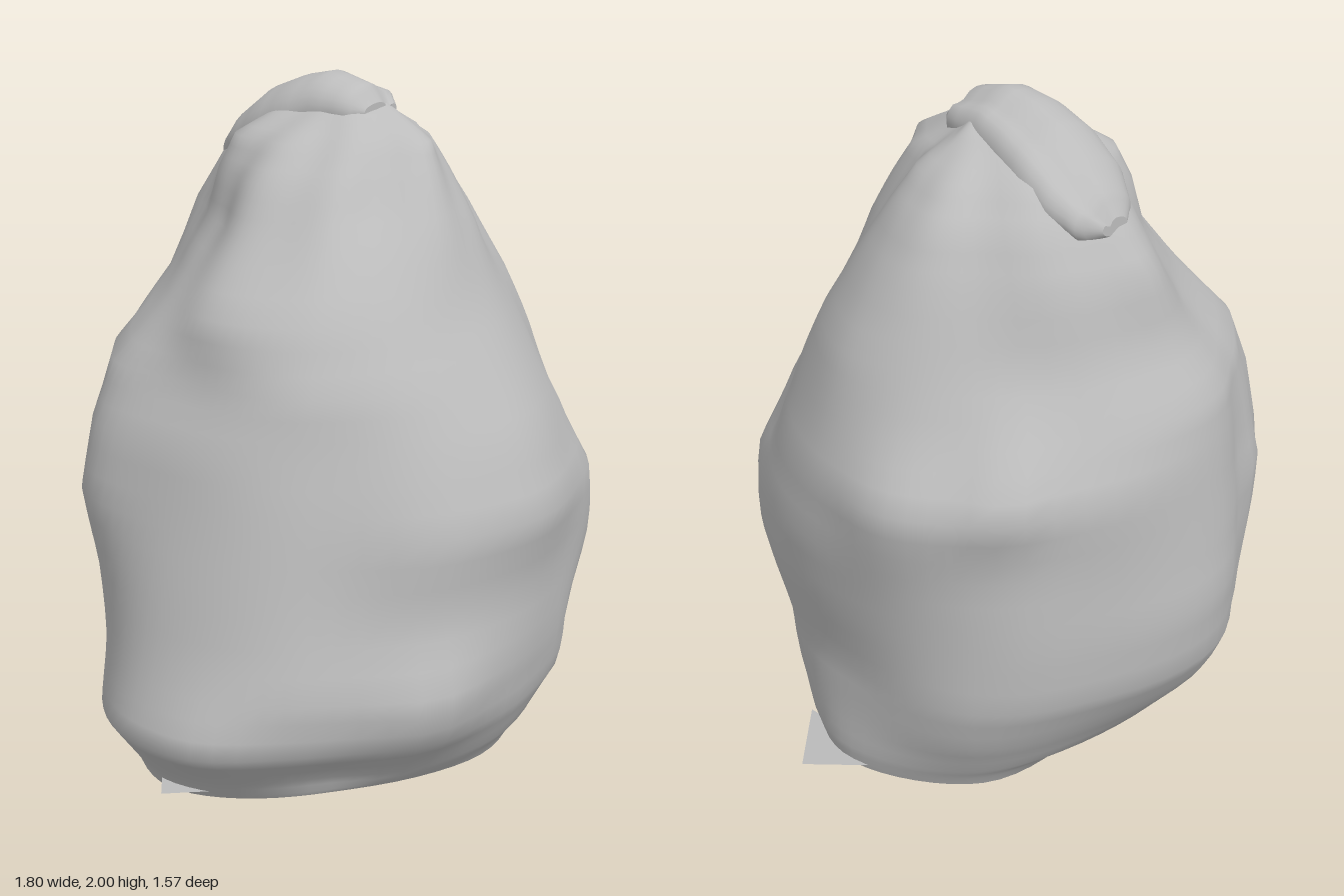
import * as THREE from 'three';

// Compass directions of the section points, in degrees from +x towards +z
const DIRECTIONS = [0, 35, 90, 145, 180, 215, 270, 325].map(THREE.MathUtils.degToRad);

// Key sections of the sack: height, then the reach in each direction
const SACK = [
  [0.015, 0.76, 0.62, 0.59, 0.66, 0.74, 0.61, 0.42, 0.66],
  [0.09, 0.77, 0.67, 0.65, 0.71, 0.79, 0.66, 0.56, 0.71],
  [0.22, 0.76, 0.71, 0.72, 0.80, 0.89, 0.71, 0.66, 0.77],
  [0.38, 0.76, 0.74, 0.74, 0.81, 0.85, 0.71, 0.76, 0.81],
  [0.60, 0.80, 0.77, 0.74, 0.76, 0.80, 0.72, 0.79, 0.81],
  [0.82, 0.82, 0.77, 0.79, 0.71, 0.74, 0.75, 0.77, 0.81],
  [1.03, 0.81, 0.71, 0.70, 0.66, 0.69, 0.71, 0.74, 0.84],
  [1.20, 0.75, 0.64, 0.60, 0.63, 0.60, 0.65, 0.71, 0.73],
  [1.38, 0.69, 0.56, 0.50, 0.54, 0.55, 0.48, 0.61, 0.64],
  [1.58, 0.59, 0.45, 0.41, 0.38, 0.37, 0.34, 0.56, 0.57],
  [1.72, 0.50, 0.36, 0.33, 0.27, 0.28, 0.30, 0.47, 0.50],
  [1.82, 0.40, 0.29, 0.27, 0.16, 0.18, 0.25, 0.38, 0.40],
  [1.89, 0.27, 0.19, 0.14, 0.07, 0.05, 0.13, 0.22, 0.27],
  [1.94, 0.19, 0.13, 0.04, -0.03, -0.04, 0.01, 0.10, 0.17],
];

// Folded neck, running backwards: z, xMin, xMax, yMin, yMax
const NECK = [
  [0.11, 0.02, 0.17, 1.87, 1.92],
  [0.07, -0.03, 0.21, 1.82, 1.97],
  [-0.05, -0.05, 0.23, 1.78, 2.00],
  [-0.15, -0.07, 0.25, 1.74, 1.98],
  [-0.26, -0.07, 0.27, 1.69, 1.94],
  [-0.36, -0.05, 0.27, 1.66, 1.87],
  [-0.44, 0.01, 0.24, 1.66, 1.80],
  [-0.48, 0.07, 0.17, 1.69, 1.74],
];

// Bulges, folds and creases: angle, height, amount, angular width, vertical width
const FOLDS = [
  [0.84, 0.68, 0.06, 0.24, 0.32],
  [1.12, 0.30, 0.03, 0.22, 0.18],
  [0.80, 0.38, -0.03, 0.30, 0.07],
  [0.72, 1.08, -0.02, 0.12, 0.25],
  [2.08, 0.32, 0.07, 0.24, 0.17],
  [2.08, 0.75, 0.03, 0.24, 0.25],
  [2.88, 0.24, 0.04, 0.18, 0.12],
  [2.45, 0.10, -0.03, 0.20, 0.07],
  [-0.74, 1.12, 0.05, 0.14, 0.14],
  [-0.32, 1.00, 0.03, 0.18, 0.20],
  [-0.80, 0.60, 0.03, 0.20, 0.30],
  [-1.98, 0.80, -0.035, 0.16, 0.45],
  [-2.15, 0.75, 0.02, 0.14, 0.30],
  [-2.65, 0.95, 0.03, 0.20, 0.30],
  [-1.80, 0.25, 0.03, 0.35, 0.14],
  [2.30, 1.68, -0.02, 0.25, 0.10],
];

const angleGap = (a, b) => Math.atan2(Math.sin(a - b), Math.cos(a - b));

// Cloth relief at an angle and height, with pleats below the neck
function relief(a, y) {
  let d = 0;
  for (const [a0, y0, amount, wa, wy] of FOLDS) {
    d += amount * Math.exp(-((angleGap(a, a0) / wa) ** 2) - ((y - y0) / wy) ** 2);
  }
  const gather = THREE.MathUtils.smoothstep(y, 1.2, 1.75) * (1 - THREE.MathUtils.smoothstep(y, 1.8, 1.93));
  const lumps = THREE.MathUtils.smoothstep(y, 0.03, 0.3) * (1 - gather);
  return d + 0.012 * gather * Math.sin(9 * a + 2 * Math.sin(3 * y))
    + 0.008 * lumps * Math.sin(5 * a + 4 * y) * Math.cos(3 * a - 6 * y);
}

// Add evenly spaced sections between the key ones
function subdivide(keys, steps) {
  const rows = [];
  for (let i = 0; i < keys.length - 1; i++) {
    for (let s = 0; s < steps; s++) {
      rows.push(keys[i].map((v, k) => THREE.MathUtils.lerp(v, keys[i + 1][k], s / steps)));
    }
  }
  rows.push(keys[keys.length - 1]);
  return rows;
}

// Skin closed rings, ending each side in a centre point; the first rim is crisp
function loft(rings) {
  const sides = rings[0].length;
  const centre = (ring) => {
    const c = ring.reduce((sum, p) => sum.add(p), new THREE.Vector3()).divideScalar(sides);
    return ring.map(() => c);
  };
  const first = rings[0], last = rings[rings.length - 1];
  const all = [centre(first), first, ...rings, last, centre(last)];
  const index = [];
  for (let i = 0; i < all.length - 1; i++) {
    if (i === 1) continue;
    for (let j = 0; j < sides; j++) {
      const a = i * sides + j, b = i * sides + ((j + 1) % sides);
      index.push(a, a + sides, b, b, a + sides, b + sides);
    }
  }
  const geometry = new THREE.BufferGeometry().setFromPoints(all.flat());
  geometry.setIndex(index);
  geometry.computeVertexNormals();
  return geometry;
}

// Closed smooth section of the sack; its centre drifts under the neck
function sackRing([y, ...reach]) {
  const t = THREE.MathUtils.smoothstep(y, 1.2, 1.9);
  const cx = 0.13 * t, cz = -0.03 * t;
  const points = DIRECTIONS.map((a, i) => {
    const r = reach[i] - cx * Math.cos(a) - cz * Math.sin(a);
    return new THREE.Vector3(cx + r * Math.cos(a), y, cz + r * Math.sin(a));
  });
  const ring = new THREE.CatmullRomCurve3(points, true, 'centripetal').getPoints(72).slice(0, -1);
  return ring.map((p) => {
    const a = Math.atan2(p.z - cz, p.x - cx);
    const d = relief(a, y);
    // the base rests unevenly on the ground
    const sag = y < 0.02 ? 0.012 * Math.sin(3 * a + 1) : 0;
    return p.add(new THREE.Vector3(d * Math.cos(a), sag, d * Math.sin(a)));
  });
}

// Oval section of the neck with a lengthwise groove on top
function neckRing([z, x0, x1, y0, y1]) {
  return Array.from({ length: 28 }, (_, j) => {
    const a = (j / 28) * Math.PI * 2;
    const groove = 0.02 * Math.exp(-(((a - 1.05) / 0.25) ** 2));
    return new THREE.Vector3(
      (x0 + x1) / 2 + ((x1 - x0) / 2) * Math.cos(a),
      (y0 + y1) / 2 + ((y1 - y0) / 2) * Math.sin(a) - groove,
      z,
    );
  });
}

export function createModel() {
  const group = new THREE.Group();
  group.name = 'sack';
  const cloth = new THREE.MeshStandardMaterial({ color: 0xbcbcbc });
  cloth.name = 'grey cloth';
  cloth.side = THREE.DoubleSide;

  const add = (name, geometry) => {
    const mesh = new THREE.Mesh(geometry, cloth);
    mesh.name = name;
    group.add(mesh);
  };

  // Slumped body, and the gathered neck folded over towards the back
  add('body', loft(subdivide(SACK, 3).map(sackRing)));
  add('foldedNeck', loft(subdivide(NECK, 3).map(neckRing)));

  // Loose corners of cloth lying at the base
  const flap = (name, points) => {
    const geometry = new THREE.BufferGeometry().setFromPoints(points.map((p) => new THREE.Vector3(...p)));
    geometry.setIndex([0, 1, 2]);
    geometry.computeVertexNormals();
    add(name, geometry);
  };
  flap('leftBaseCorner', [[0.68, 0.03, 0.24], [0.90, 0.06, 0.03], [0.68, 0.03, -0.16]]);
  flap('rightBaseCorner', [[-0.66, 0.03, -0.1], [-0.83, 0.04, 0.06], [-0.66, 0.03, 0.2]]);
  return group;
}
